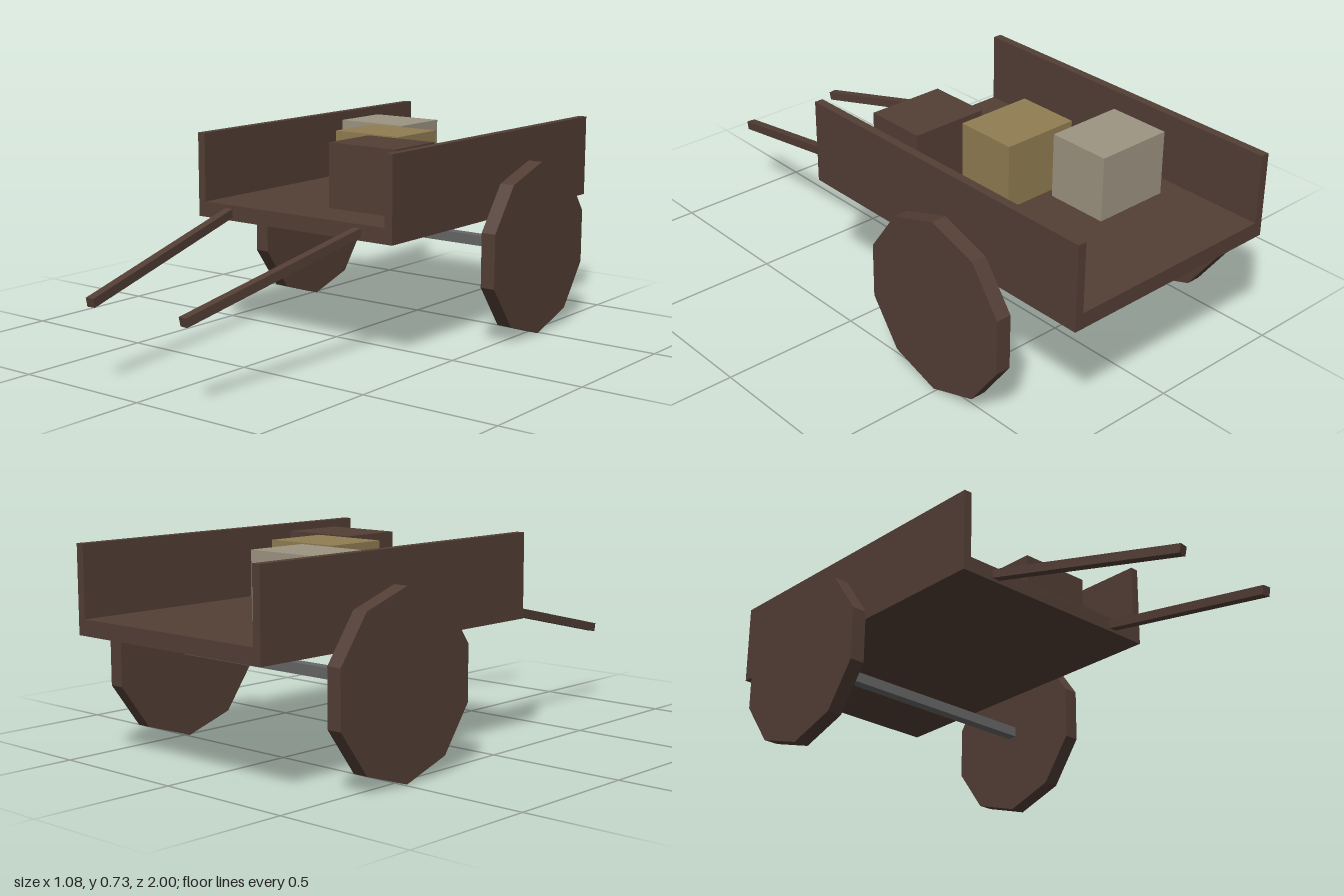
import * as THREE from 'three';

export function createModel() {
  const cart = new THREE.Group();
  cart.name = 'handcart';

  const mat = (name, color) => {
    const m = new THREE.MeshStandardMaterial({ color, flatShading: true });
    m.name = name;
    return m;
  };
  const wood = mat('dark wood', 0x533e35);
  const iron = mat('grey iron', 0x666666);
  const pale = mat('pale beige', 0x9e9582);
  const straw = mat('straw brown', 0x917d52);

  const add = (name, geometry, material, x, y, z) => {
    const mesh = new THREE.Mesh(geometry, material);
    mesh.name = name;
    mesh.position.set(x, y, z);
    cart.add(mesh);
    return mesh;
  };
  const box = (name, material, w, h, d, x, y, z) =>
    add(name, new THREE.BoxGeometry(w, h, d), material, x, y, z);

  // Bed and axle
  box('bed', wood, 0.852, 0.055, 1.25, 0, 0.457, -0.375);
  box('axle', iron, 1.06, 0.038, 0.038, 0, 0.314, -0.488);

  // Ten-sided wheel with a corner at the top and bottom
  const wheel = new THREE.CylinderGeometry(0.313, 0.313, 0.055, 10, 1, false, Math.PI / 2);
  wheel.rotateZ(Math.PI / 2);

  for (const [side, s] of [['left', 1], ['right', -1]]) {
    box(side + 'SideBoard', wood, 0.031, 0.245, 1.25, s * 0.4105, 0.607, -0.375);
    add(side + 'Wheel', wheel, wood, s * 0.513, 0.314, -0.488);

    // Pulling shaft, sloping down and inwards towards the front
    const start = new THREE.Vector3(s * 0.287, 0.463, 0.22);
    const end = new THREE.Vector3(s * 0.2, 0.288, 0.995);
    const mid = start.clone().lerp(end, 0.5);
    const shaft = box(side + 'Shaft', wood, 0.031, 0.031, start.distanceTo(end), mid.x, mid.y, mid.z);
    shaft.lookAt(end);
  }

  // Cargo crates, staggered across the bed
  const crates = [
    ['rearCrate', pale, -0.172, -0.548],
    ['middleCrate', straw, -0.001, -0.291],
    ['frontCrate', wood, 0.17, -0.035],
  ];
  for (const [name, material, x, z] of crates) {
    box(name, material, 0.284, 0.23, 0.227, x, 0.5995, z);
  }

  return cart;
}
